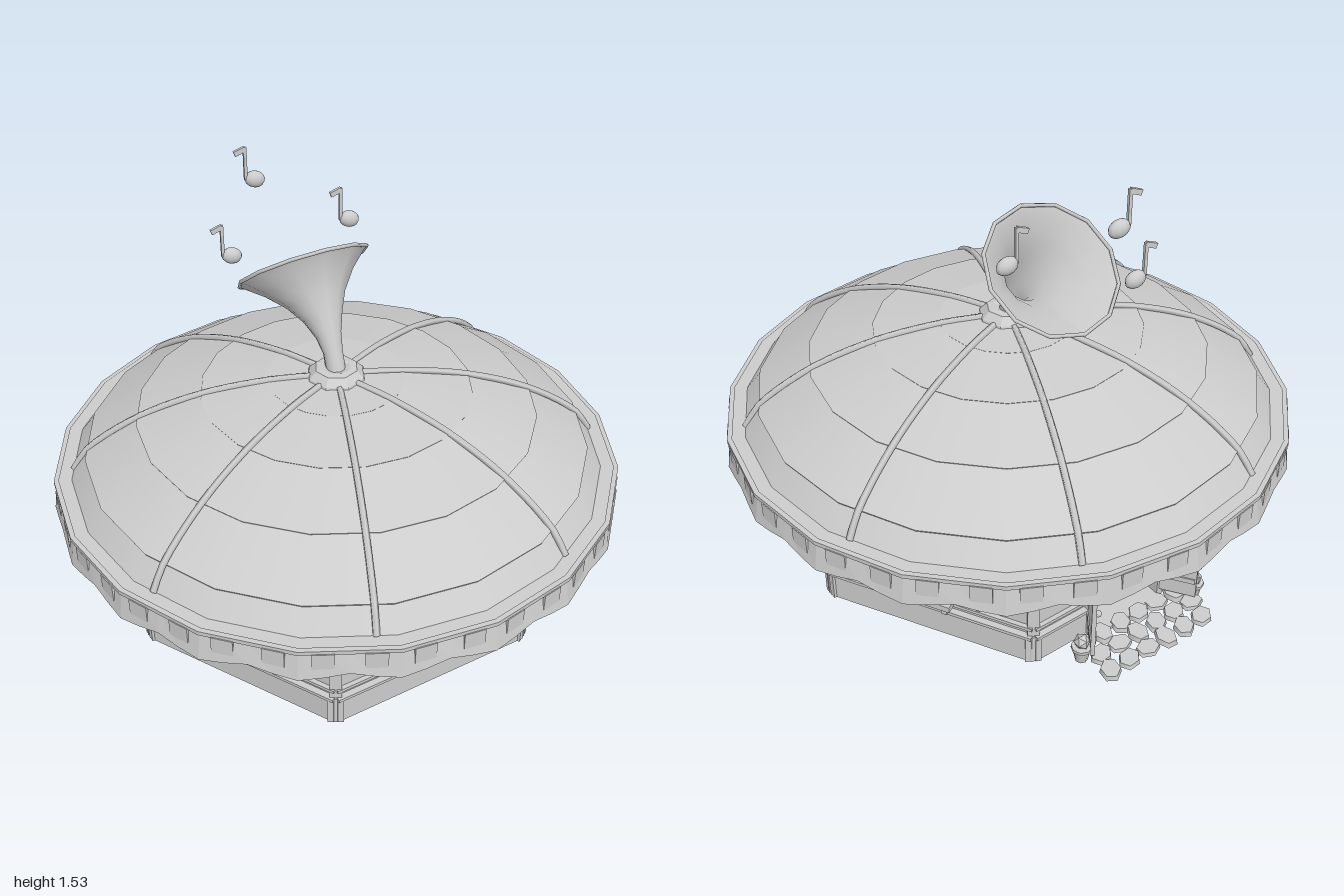
import * as THREE from 'three';

const RAD = Math.PI / 180;
const AP = 0.658, R = 0.76;            // hexagon apothem and corner radius
const FIRST_CORNER = 20.5, ROOF_TURN = 14, SIDES = 20;
const clay = new THREE.MeshStandardMaterial({ color: 0xcccccc, side: THREE.DoubleSide });
clay.name = 'light grey';

function add(parent, name, geo, x = 0, y = 0, z = 0) {
  const m = new THREE.Mesh(geo, clay);
  m.name = name;
  m.position.set(x, y, z);
  parent.add(m);
  return m;
}
const box = (p, name, w, h, d, x, y, z) => add(p, name, new THREE.BoxGeometry(w, h, d), x, y, z);

// group turned so its local +z points outward at the given azimuth
function spoke(parent, name, deg) {
  const g = new THREE.Group();
  g.name = name;
  g.rotation.y = deg * RAD;
  parent.add(g);
  return g;
}
const flat = (g) => { const n = g.toNonIndexed(); n.computeVertexNormals(); return n; };

function heart(p) {
  const s = new THREE.Shape();
  s.moveTo(0, -0.085);
  s.bezierCurveTo(-0.03, -0.05, -0.08, -0.02, -0.08, 0.035);
  s.bezierCurveTo(-0.08, 0.085, -0.015, 0.09, 0, 0.045);
  s.bezierCurveTo(0.015, 0.09, 0.08, 0.085, 0.08, 0.035);
  s.bezierCurveTo(0.08, -0.02, 0.03, -0.05, 0, -0.085);
  add(p, 'heart', new THREE.ExtrudeGeometry(s, { depth: 0.012, bevelEnabled: false }), 0, 0.26, AP);
  box(p, 'heartSill', 0.18, 0.014, 0.03, 0, 0.175, AP + 0.015);
}

function roundWindow(p) {
  const ring = add(p, 'windowFrame', new THREE.TorusGeometry(0.085, 0.013, 6, 10), 0, 0.25, AP + 0.008);
  ring.rotation.z = 18 * RAD;
  box(p, 'windowBarUp', 0.012, 0.16, 0.014, 0, 0.25, AP + 0.006);
  box(p, 'windowBarAcross', 0.16, 0.012, 0.014, 0, 0.25, AP + 0.006);
  box(p, 'windowShelf', 0.2, 0.022, 0.05, 0, 0.153, AP + 0.025);
  for (const x of [-0.07, 0.07]) box(p, 'shelfBracket', 0.02, 0.04, 0.03, x, 0.125, AP + 0.015);
}

function doorway(p) {
  for (const s of [-1, 1]) {
    box(p, 'doorPost', 0.025, 0.4, 0.05, s * 0.155, 0.2, AP);
    // open leaf swung outward
    const hinge = new THREE.Group();
    hinge.name = 'doorLeaf';
    hinge.position.set(s * 0.15, 0, AP + 0.01);
    hinge.rotation.y = s * 35 * RAD;
    p.add(hinge);
    box(hinge, 'leafPanel', 0.015, 0.35, 0.14, 0, 0.205, 0.07);
    for (const y of [0.1, 0.32]) box(hinge, 'leafRail', 0.024, 0.02, 0.13, 0, y, 0.07);
    add(hinge, 'doorKnob', new THREE.SphereGeometry(0.012, 8, 6), -s * 0.014, 0.2, 0.12);
    // wall lantern
    add(p, 'lantern', new THREE.SphereGeometry(0.038, 10, 8), s * 0.27, 0.325, AP + 0.085);
    box(p, 'lanternArm', 0.012, 0.012, 0.09, s * 0.27, 0.37, AP + 0.045);
    // flower pot
    const x = s * 0.25, z = 0.75;
    add(p, 'pot', new THREE.CylinderGeometry(0.032, 0.022, 0.055, 8), x, 0.0275, z);
    add(p, 'potRim', new THREE.CylinderGeometry(0.036, 0.036, 0.012, 8), x, 0.055, z);
    add(p, 'potPlant', flat(new THREE.IcosahedronGeometry(0.028, 0)), x, 0.08, z);
  }
  box(p, 'lintel', 0.335, 0.025, 0.05, 0, 0.41, AP);
  box(p, 'threshold', 0.3, 0.012, 0.12, 0, 0.006, AP - 0.01);
  // paving stones
  for (let r = 0; r < 3; r++) for (let i = 0; i < 6; i++) {
    const k = (i * 7 + r * 5) % 4;
    const stone = add(p, 'pavingStone', new THREE.CylinderGeometry(0.042, 0.046, 0.014 + k * 0.002, 6),
      -0.208 + i * 0.081 + (r % 2) * 0.018, 0.008, 0.71 + r * 0.07);
    stone.rotation.y = k * 0.5;
    stone.scale.z = 0.8;
  }
}

function wall(house, deg, kind) {
  const p = spoke(house, kind + 'Wall', deg);
  const s = new THREE.Shape([[-R / 2, 0], [R / 2, 0], [R / 2, 0.48], [-R / 2, 0.48]].map(a => new THREE.Vector2(...a)));
  const door = kind === 'door';
  if (door) s.holes.push(new THREE.Path([[-0.145, 0.002], [-0.145, 0.4], [0.145, 0.4], [0.145, 0.002]].map(a => new THREE.Vector2(...a))));
  add(p, 'wallPanel', new THREE.ExtrudeGeometry(s, { depth: 0.025, bevelEnabled: false }), 0, 0, AP - 0.025);
  // skirting and rails, left open at the doorway
  for (const [x, w] of door ? [[-0.262, 0.235], [0.262, 0.235]] : [[0, R]]) {
    box(p, 'skirting', w, 0.105, 0.05, x, 0.0525, AP - 0.01);
    box(p, 'lowerRail', w, 0.012, 0.03, x, 0.108, AP + 0.008);
    box(p, 'upperRail', w, 0.012, 0.024, x, 0.145, AP + 0.004);
  }
  box(p, 'topRail', R, 0.03, 0.045, 0, 0.46, AP - 0.01);
  for (const e of [-1, 1]) {
    box(p, 'batten', 0.014, 0.32, 0.018, e * 0.187, 0.305, AP + 0.003);
    for (const x of [0.1, 0.28]) add(p, 'bolt', new THREE.SphereGeometry(0.007, 6, 4), e * x, 0.42, AP + 0.002);
  }
  if (kind === 'heart') heart(p);
  if (kind === 'window') roundWindow(p);
  if (door) doorway(p);
}

function cornerPost(house, deg) {
  const p = spoke(house, 'corner', deg);
  box(p, 'cornerPost', 0.04, 0.47, 0.035, 0, 0.235, R - 0.012);
  box(p, 'postFoot', 0.055, 0.11, 0.045, 0, 0.055, R - 0.012);
  const c = new THREE.QuadraticBezierCurve3(new THREE.Vector3(0, 0.36, R), new THREE.Vector3(0, 0.44, R + 0.02), new THREE.Vector3(0, 0.462, R + 0.13));
  add(p, 'eaveBracket', new THREE.TubeGeometry(c, 6, 0.012, 6));
}

const lathe = (pts, n = SIDES) => new THREE.LatheGeometry(pts.map(a => new THREE.Vector2(...a)), n);

function buildRoof(model) {
  const roof = spoke(model, 'roof', ROOF_TURN);
  // overlapping dome tiers, each with a small lip
  const prof = [[0.925, 0.555], [0.87, 0.635], [0.685, 0.755], [0.46, 0.833], [0.23, 0.868], [0.001, 0.876]];
  for (let i = 0; i < 5; i++) {
    const [r, y] = prof[i];
    add(roof, 'domeTier', lathe([[r + 0.008, y], prof[i + 1]]));
    add(roof, 'tierLip', lathe([[r + 0.004, y - 0.008], [r + 0.008, y]]));
  }
  add(roof, 'rimTop', lathe([[0.985, 0.556], [0.9, 0.558]]));
  add(roof, 'rimBead', flat(lathe([[0.975, 0.545], [0.992, 0.545], [0.992, 0.56], [0.975, 0.56]])));
  add(roof, 'eaveUnderside', lathe([[0.62, 0.471], [0.985, 0.47]]));

  // scalloped valance: four strips per side with a waving hem
  const pos = [], idx = [], N = SIDES * 4;
  for (let i = 0; i <= N; i++) {
    const t = (i % 4) / 4, a0 = Math.floor(i / 4) * 18 * RAD, a1 = a0 + 18 * RAD;
    const x = Math.sin(a0) * (1 - t) + Math.sin(a1) * t, z = Math.cos(a0) * (1 - t) + Math.cos(a1) * t;
    const hem = [0.448, 0.456, 0.472, 0.456][i % 4];
    pos.push(x, hem, z, x * 0.983, 0.55, z * 0.983);
    if (i < N) idx.push(2 * i, 2 * i + 2, 2 * i + 1, 2 * i + 1, 2 * i + 2, 2 * i + 3);
  }
  const g = new THREE.BufferGeometry();
  g.setAttribute('position', new THREE.Float32BufferAttribute(pos, 3));
  g.setIndex(idx);
  add(roof, 'valance', flat(g));
  for (let i = 0; i < SIDES; i++) {
    const a = spoke(roof, 'valanceTab', i * 18 + 9);
    for (const x of [-0.08, 0.08]) box(a, 'tab', 0.07, 0.06, 0.012, x, 0.518, 0.977);
    for (const x of [-0.08, 0.08]) add(a, 'eaveBead', new THREE.SphereGeometry(0.008, 6, 4), x, 0.43, 0.89);
  }
  // ribs that follow the dome
  const path = new THREE.CatmullRomCurve3(prof.slice(0, 5).concat([[0.09, 0.872]]).map(([r, y]) => new THREE.Vector3(0, y + 0.002, r)));
  for (let i = 0; i < 8; i++) add(spoke(model, 'roofRib', 28 + i * 45), 'rib', new THREE.TubeGeometry(path, 20, 0.012, 5));
  add(model, 'roofCap', flat(lathe([[0.105, 0.865], [0.1, 0.88], [0.075, 0.905], [0.05, 0.908], [0.03, 0.9]], 8)));
}

function buildHorn(model) {
  const p = spoke(model, 'horn', 228);
  // rings: forward, height, radius, tilt in degrees
  const rings = [[0, 0.88, 0.034, 8], [0.025, 0.95, 0.034, 25], [0.058, 1.0, 0.045, 34], [0.1, 1.05, 0.07, 38],
    [0.15, 1.09, 0.105, 40], [0.205, 1.128, 0.16, 40], [0.245, 1.158, 0.217, 40], [0.252, 1.168, 0.234, 40]];
  const pos = [], idx = [], n = 12;
  rings.forEach(([f, y, r, tilt], k) => {
    const c = Math.cos(tilt * RAD), s = Math.sin(tilt * RAD);
    for (let i = 0; i <= n; i++) {
      const a = (i / n) * Math.PI * 2, w = r * Math.cos(a);
      pos.push(r * Math.sin(a), y - w * s, f + w * c);
      const q = k * (n + 1) + i;
      if (k < rings.length - 1 && i < n) idx.push(q, q + 1, q + n + 1, q + 1, q + n + 2, q + n + 1);
    }
  });
  const g = new THREE.BufferGeometry();
  g.setAttribute('position', new THREE.Float32BufferAttribute(pos, 3));
  g.setIndex(idx);
  g.computeVertexNormals();
  add(p, 'hornBell', g);
  const lip = add(p, 'hornLip', new THREE.TorusGeometry(0.232, 0.007, 5, n), 0, 1.168, 0.252);
  lip.rotation.x = -50 * RAD;
}

function musicNote(model, x, y, z) {
  const p = spoke(model, 'musicNote', 222);
  p.position.set(x, y, z);
  const head = add(p, 'noteHead', new THREE.SphereGeometry(0.036, 10, 8));
  head.scale.set(1.05, 0.82, 0.65);
  head.rotation.z = 0.35;
  box(p, 'noteStem', 0.011, 0.12, 0.011, 0.032, 0.062, 0);
  box(p, 'noteFlag', 0.042, 0.018, 0.011, 0.05, 0.11, 0).rotation.z = -0.35;
}

export function createModel() {
  const model = new THREE.Group();
  model.name = 'roundHouse';
  const house = new THREE.Group();
  house.name = 'house';
  model.add(house);
  ['window', 'heart', 'window', 'door', 'window', 'heart'].forEach((kind, i) => {
    wall(house, FIRST_CORNER + 30 + i * 60, kind);
    cornerPost(house, FIRST_CORNER + i * 60);
  });
  buildRoof(model);
  buildHorn(model);
  for (const n of [[-0.41, 1.405, -0.29], [-0.45, 1.165, -0.16], [-0.09, 1.275, -0.365]]) musicNote(model, ...n);
  return model;
}
